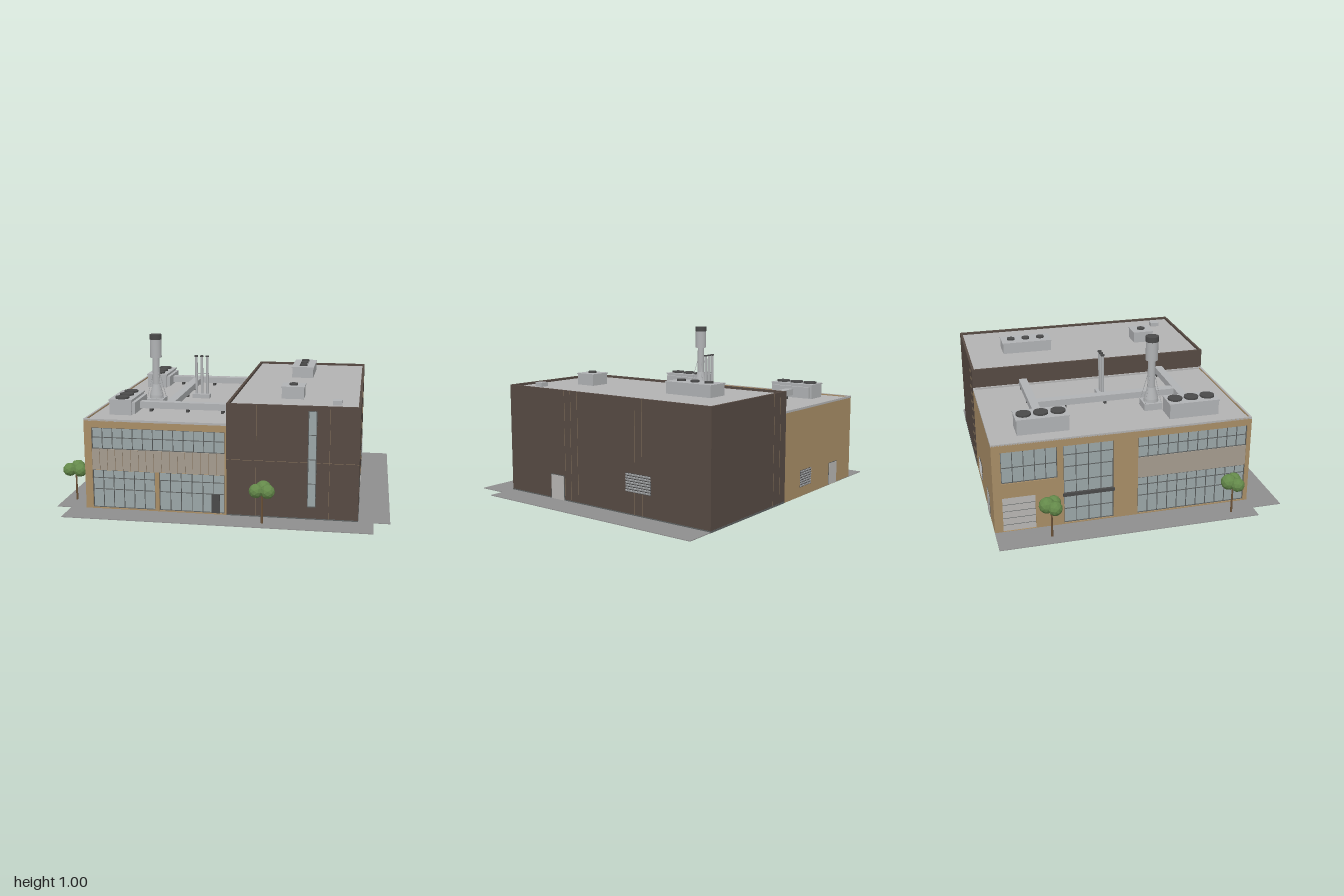
import * as THREE from 'three';

const mat = (color, extra = {}) => new THREE.MeshStandardMaterial({ color, ...extra });
const M = {
  tan: mat(0xa88d66), brown: mat(0x564a43), roof: mat(0xb2b2b2), metal: mat(0xb0b2b4),
  dark: mat(0x4a4a4a), glass: mat(0x9ba6a7), frame: mat(0x5c6060), panel: mat(0xa59c8f),
  joint: mat(0x85715a), door: mat(0xb8b6b3), paving: mat(0x8e8e8e),
  trunk: mat(0x6b5238), leaf: mat(0x64894a, { flatShading: true }),
};

function add(parent, name, geometry, material, x = 0, y = 0, z = 0) {
  const mesh = new THREE.Mesh(geometry, material);
  mesh.name = name;
  mesh.position.set(x, y, z);
  parent.add(mesh);
  return mesh;
}

// Box given by its limits on each axis
function box(parent, name, material, x0, x1, y0, y1, z0, z1) {
  return add(parent, name, new THREE.BoxGeometry(x1 - x0, y1 - y0, z1 - z0), material,
    (x0 + x1) / 2, (y0 + y1) / 2, (z0 + z1) / 2);
}

function rod(parent, name, material, r0, r1, x, y0, y1, z, sides = 20) {
  return add(parent, name, new THREE.CylinderGeometry(r1, r0, y1 - y0, sides), material, x, (y0 + y1) / 2, z);
}

const rect = (T, [a, b, c, d]) => new T([[a, c], [b, c], [b, d], [a, d]].map(p => new THREE.Vector2(...p)));

function slab(outline, holes, depth) {
  const shape = rect(THREE.Shape, outline);
  shape.holes = holes.map(h => rect(THREE.Path, h));
  return new THREE.ExtrudeGeometry(shape, { depth, bevelEnabled: false });
}

// Group whose local z points out of a wall
function facade(parent, name, x, z, turn) {
  const g = new THREE.Group();
  g.name = name;
  g.position.set(x, 0, z);
  g.rotation.y = turn;
  parent.add(g);
  return g;
}

// Glazing with mullions set into a wall opening
function glazing(parent, name, [a, b, c, d], cols, rows, z = -0.015) {
  const g = new THREE.Group();
  g.name = name;
  parent.add(g);
  box(g, 'glass', M.glass, a, b, c, d, z, z + 0.003);
  const t = 0.002;
  for (let i = 0; i <= cols; i++) {
    const u = a + t + (b - a - 2 * t) * i / cols;
    box(g, 'mullion', M.frame, u - t, u + t, c, d, z, z + 0.008);
  }
  for (const v of [c + t, ...rows, d - t]) box(g, 'transom', M.frame, a, b, v - t, v + t, z, z + 0.007);
}

function louvre(parent, [a, b, c, d]) {
  const g = new THREE.Group();
  g.name = 'louvre';
  parent.add(g);
  box(g, 'louvreBack', M.dark, a, b, c, d, 0, 0.002);
  for (let i = 0; i < 7; i++) {
    const v = c + (d - c) * (i + 0.5) / 7;
    const s = box(g, 'slat', M.metal, a, b, v - 0.005, v + 0.005, 0.002, 0.005);
    s.rotation.x = 0.3;
  }
}

function rim(parent, name, material, [a, b, c, d], w, y, h) {
  const m = add(parent, name, slab([a, b, c, d], [[a + w, b - w, c + w, d - w]], h), material, 0, y + h, 0);
  m.rotation.x = Math.PI / 2; // shape y becomes z
}

function roofUnit(parent, x0, x1, z0, z1, y0, y1, fans, r) {
  const g = new THREE.Group();
  g.name = 'roofUnit';
  parent.add(g);
  box(g, 'casing', M.metal, x0 + 0.004, x1 - 0.004, y0, y1 - 0.008, z0 + 0.004, z1 - 0.004);
  box(g, 'lid', M.metal, x0, x1, y1 - 0.008, y1, z0, z1);
  for (const z of fans) rod(g, 'fan', M.dark, r, r, (x0 + x1) / 2, y1, y1 + 0.011, z, 24);
}

function tree(parent, x, z) {
  const g = new THREE.Group();
  g.name = 'tree';
  g.position.set(x, 0, z);
  parent.add(g);
  rod(g, 'trunk', M.trunk, 0.007, 0.005, 0, 0, 0.18, 0, 8);
  for (const [cx, cy, cz, r] of [[-0.034, 0.2, 0.015, 0.042], [0.034, 0.2, 0.02, 0.042], [0.004, 0.205, -0.025, 0.047]]) {
    add(g, 'crown', new THREE.IcosahedronGeometry(r, 1), M.leaf, cx, cy, cz).rotation.y = cx * 20;
  }
}

export function createModel() {
  const root = new THREE.Group();
  root.name = 'industrialBuilding';
  const B = -0.86, F = 0.68, L = -0.815, S = 0.045, R = 0.815;

  // Paving
  box(root, 'paving', M.paving, -1, 1, 0, 0.004, B, F);
  box(root, 'frontPaving', M.paving, -0.91, 0.905, 0, 0.004, F, 0.86);

  // Tan hall: core with openings cut in the outer wall skins
  box(root, 'hallCore', M.tan, L + 0.015, S, 0, 0.545, B, F - 0.015);
  box(root, 'hallRoof', M.roof, L + 0.012, S, 0.543, 0.548, B + 0.008, F - 0.012);
  rim(root, 'hallCoping', M.roof, [L, S, B, F], 0.012, 0.545, 0.013);

  const front = facade(root, 'hallFront', 0, F, 0);
  const upper = [-0.77, 0.035, 0.375, 0.505], band = [-0.77, 0.035, 0.245, 0.375];
  const lowL = [-0.77, -0.385, 0.01, 0.245], lowR = [-0.36, 0.035, 0.01, 0.245];
  add(front, 'frontWall', slab([L, S, 0, 0.555], [[-0.77, 0.035, 0.245, 0.505], lowL, lowR], 0.015), M.tan, 0, 0, -0.015);
  glazing(front, 'upperWindows', upper, 13, [0.445]);
  glazing(front, 'lowerWindowsLeft', lowL, 6, [0.125, 0.195]);
  glazing(front, 'lowerWindowsRight', lowR, 6, [0.125, 0.195]);
  box(front, 'spandrel', M.panel, ...band, -0.015, -0.004);
  for (let i = 1; i < 17; i++) {
    const u = -0.77 + 0.805 * i / 17;
    box(front, 'spandrelRib', M.joint, u - 0.001, u + 0.001, 0.245, 0.375, -0.004, -0.002);
  }
  box(front, 'entranceDoor', M.dark, -0.045, 0.005, 0.004, 0.125, -0.012, -0.003);

  const side = facade(root, 'hallSide', L, 0, -Math.PI / 2);
  const sideUp = [-0.015, 0.655, 0.375, 0.505], sideLow = [-0.015, 0.655, 0.01, 0.245];
  const tall = [-0.455, -0.16, 0.01, 0.505], backWin = [-0.81, -0.49, 0.31, 0.505], bay = [-0.81, -0.62, 0.005, 0.22];
  add(side, 'sideWall', slab([B, F - 0.015, 0, 0.555], [[-0.015, 0.655, 0.01, 0.505], tall, backWin, bay], 0.015), M.tan, 0, 0, -0.015);
  glazing(side, 'sideUpperWindows', sideUp, 11, [0.445]);
  glazing(side, 'sideLowerWindows', sideLow, 11, [0.125, 0.195]);
  box(side, 'sideSpandrel', M.panel, -0.015, 0.655, 0.245, 0.375, -0.015, -0.004);
  glazing(side, 'tallWindow', tall, 4, [0.1, 0.28, 0.37, 0.445]);
  glazing(side, 'backWindow', backWin, 5, [0.405]);
  box(side, 'bayDoor', M.door, ...bay, -0.015, -0.008);
  for (let i = 1; i < 5; i++) box(side, 'bayDoorSeam', M.frame, -0.81, -0.62, i * 0.043, i * 0.043 + 0.002, -0.008, -0.006);
  box(side, 'canopy', M.dark, -0.46, -0.155, 0.185, 0.205, -0.01, 0.006);

  const back = facade(root, 'hallBack', 0, B, Math.PI);
  louvre(back, [0.14, 0.275, 0.06, 0.165]);
  box(back, 'backDoorFrame', M.frame, 0.517, 0.628, 0.004, 0.148, 0, 0.002);
  box(back, 'backDoor', M.door, 0.521, 0.624, 0.004, 0.144, 0, 0.004);

  // Brown block
  box(root, 'tallBlock', M.brown, S, R, 0, 0.66, B, F);
  box(root, 'tallBlockRoof', M.roof, S + 0.014, R - 0.014, 0.659, 0.664, B + 0.014, F - 0.014);
  rim(root, 'tallBlockParapet', M.brown, [S, R, B, F], 0.015, 0.66, 0.018);
  box(root, 'plinth', M.frame, S, R + 0.002, 0, 0.01, B - 0.002, F + 0.002);

  const blockFront = facade(root, 'blockFront', 0, F, 0);
  glazing(blockFront, 'slotWindow', [0.52, 0.57, 0.08, 0.65], 1, [0.22, 0.365, 0.51], 0);
  for (const u of [0.22, 0.645]) box(blockFront, 'wallJoint', M.joint, u - 0.001, u + 0.001, 0.01, 0.675, 0, 0.001);
  box(blockFront, 'wallJoint', M.joint, S, 0.52, 0.344, 0.346, 0, 0.001);
  box(blockFront, 'wallJoint', M.joint, 0.57, R, 0.344, 0.346, 0, 0.001);

  const blockSide = facade(root, 'blockSide', R, 0, Math.PI / 2);
  box(blockSide, 'sideDoorFrame', M.frame, -0.331, -0.219, 0.004, 0.157, 0, 0.002);
  box(blockSide, 'sideDoor', M.door, -0.327, -0.223, 0.004, 0.153, 0, 0.004);
  louvre(blockSide, [0.27, 0.452, 0.138, 0.248]);
  for (const u of [-0.21, -0.16, -0.105]) box(blockSide, 'wallJoint', M.joint, u - 0.001, u + 0.001, 0.01, 0.675, 0, 0.001);
  for (const u of [0.335, 0.39]) box(blockSide, 'wallJoint', M.joint, u - 0.001, u + 0.001, 0.01, 0.675, 0, 0.001);
  for (const u of [-0.18, -0.11]) box(back, 'wallJoint', M.joint, u - 0.001, u + 0.001, 0.01, 0.675, 0, 0.001);

  // Roof units
  roofUnit(root, 0.33, 0.48, -0.62, -0.29, 0.66, 0.738, [-0.555, -0.455, -0.355], 0.026);
  roofUnit(root, 0.335, 0.475, 0.29, 0.43, 0.66, 0.738, [0.36], 0.026);
  box(root, 'roofHatch', M.metal, 0.65, 0.705, 0.66, 0.69, 0.515, 0.57);
  for (const zc of [-0.545, 0.36]) {
    roofUnit(root, -0.71, -0.565, zc - 0.155, zc + 0.155, 0.545, 0.643, [zc - 0.1, zc, zc + 0.1], 0.043);
    box(root, 'unitOutlet', M.metal, -0.569, -0.548, 0.555, 0.625, zc - 0.14, zc + 0.14);
    // Cross ducts and their feet
    box(root, 'crossDuct', M.metal, -0.55, 0, 0.567, 0.608, zc - 0.025, zc + 0.025);
    for (const x of [-0.48, -0.25, -0.03]) box(root, 'ductFoot', M.dark, x - 0.008, x + 0.008, 0.545, 0.567, zc - 0.022, zc + 0.022);
  }
  box(root, 'longDuct', M.metal, -0.393, -0.338, 0.567, 0.606, -0.52, 0.335);
  for (const z of [-0.35, -0.1, 0.15]) box(root, 'ductFoot', M.dark, -0.388, -0.343, 0.545, 0.567, z - 0.008, z + 0.008);

  // Exhaust stack with braces
  const stack = new THREE.Group();
  stack.name = 'exhaustStack';
  stack.position.set(-0.5, 0, 0.155);
  root.add(stack);
  box(stack, 'stackBase', M.metal, -0.056, 0.056, 0.545, 0.59, -0.056, 0.056);
  const profile = [[0.045, 0.59], [0.043, 0.61], [0.024, 0.68], [0.022, 0.85], [0.037, 0.852], [0.037, 0.97]];
  for (let i = 1; i < profile.length; i++) {
    rod(stack, 'stackSection', M.metal, profile[i - 1][0], profile[i][0], 0, profile[i - 1][1], profile[i][1], 0, 24);
  }
  rod(stack, 'stackCap', M.dark, 0.039, 0.039, 0, 0.968, 1.0, 0, 24);
  for (const sx of [-1, 1]) for (const sz of [-1, 1]) {
    const path = new THREE.LineCurve3(new THREE.Vector3(sx * 0.05, 0.59, sz * 0.05), new THREE.Vector3(sx * 0.016, 0.76, sz * 0.016));
    add(stack, 'brace', new THREE.TubeGeometry(path, 1, 0.002, 6), M.metal);
  }

  // Vent pipes
  box(root, 'ventBase', M.metal, -0.31, -0.195, 0.545, 0.575, -0.122, -0.062);
  for (const x of [-0.288, -0.251, -0.214]) {
    rod(root, 'ventPipe', M.metal, 0.009, 0.009, x, 0.575, 0.825, -0.092, 16);
    rod(root, 'ventCap', M.dark, 0.012, 0.012, x, 0.823, 0.832, -0.092, 16);
  }
  box(root, 'ventTie', M.metal, -0.297, -0.205, 0.708, 0.714, -0.095, -0.089);

  // Trees
  for (const [x, z] of [[-0.925, -0.55], [-0.925, 0.535], [0.27, 0.785]]) tree(root, x, z);
  return root;
}
